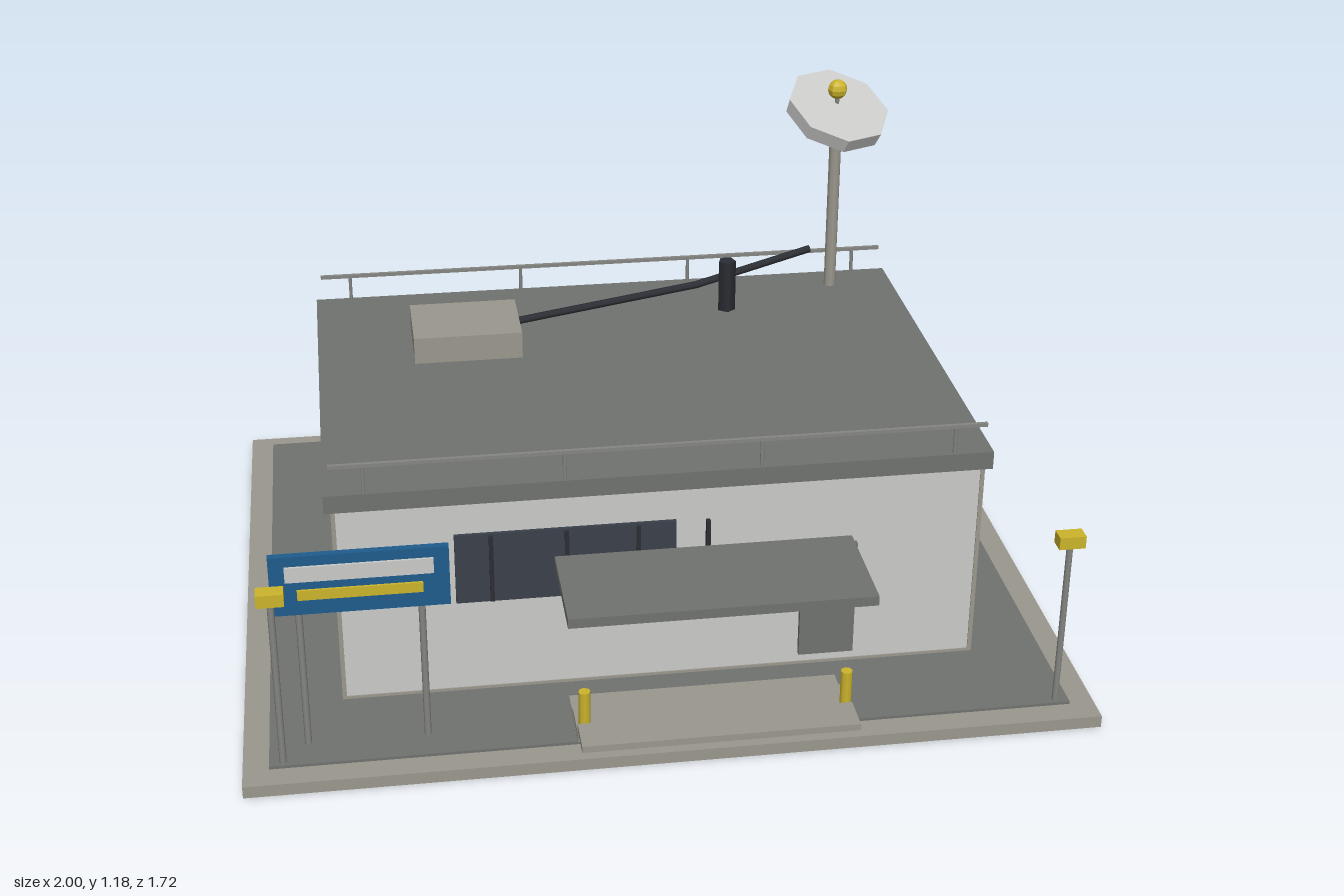
import * as THREE from 'three';

const mat = (name, color) => {
  const m = new THREE.MeshStandardMaterial({ color });
  m.name = name;
  return m;
};

export function createModel() {
  const model = new THREE.Group();
  model.name = 'roadsideStation';

  const concrete = mat('concrete', 0x9a978d);
  const asphalt = mat('darkGrey', 0x707270);
  const wall = mat('wallGrey', 0xc9c9c8);
  const glass = mat('darkGlass', 0x3a404a);
  const pipeDark = mat('nearBlack', 0x2a2d33);
  const metal = mat('metal', 0x858682);
  const blue = mat('signBlue', 0x1f5c8c);
  const yellow = mat('yellow', 0xcbb32c);

  const add = (name, geo, material, x = 0, y = 0, z = 0) => {
    const mesh = new THREE.Mesh(geo, material);
    mesh.name = name;
    mesh.position.set(x, y, z);
    model.add(mesh);
    return mesh;
  };
  // Box given by its lower and upper bounds on each axis
  const box = (name, m, x0, x1, y0, y1, z0, z1) =>
    add(name, new THREE.BoxGeometry(x1 - x0, y1 - y0, z1 - z0), m,
      (x0 + x1) / 2, (y0 + y1) / 2, (z0 + z1) / 2);
  // Upright post
  const post = (name, m, r, x, z, y0, y1, sides = 8) =>
    add(name, new THREE.CylinderGeometry(r, r, y1 - y0, sides), m, x, (y0 + y1) / 2, z);
  // Straight rod between two points
  const rod = (name, m, r, a, b, sides = 8) => {
    const d = b.clone().sub(a);
    const mesh = add(name, new THREE.CylinderGeometry(r, r, d.length(), sides), m);
    mesh.position.copy(a).add(b).multiplyScalar(0.5);
    mesh.quaternion.setFromUnitVectors(new THREE.Vector3(0, 1, 0), d.normalize());
    return mesh;
  };

  // Ground
  box('baseSlab', concrete, -1, 1, 0, 0.03, -0.86, 0.83);
  box('pavement', asphalt, -0.94, 0.94, 0.03, 0.037, -0.81, 0.77);

  // Building
  box('walls', wall, -0.765, 0.765, 0.037, 0.55, -0.547, 0.52);
  box('wallSkirt', concrete, -0.768, 0.768, 0.037, 0.044, -0.55, 0.523);
  for (const x of [-0.763, 0.763]) {
    for (const z of [-0.545, 0.518]) {
      box('cornerTrim', concrete, x - 0.005, x + 0.005, 0.037, 0.55, z - 0.005, z + 0.005);
    }
  }
  box('roofSlab', asphalt, -0.783, 0.783, 0.55, 0.595, -0.567, 0.535);

  // Window and mullions
  box('window', glass, -0.49, 0.03, 0.283, 0.465, 0.519, 0.528);
  for (const x of [-0.405, -0.228, -0.06, 0.106]) {
    box('mullion', pipeDark, x - 0.005, x + 0.005, 0.285, 0.46, 0.519, 0.534);
  }

  // Door and canopy
  box('door', asphalt, 0.332, 0.466, 0.07, 0.372, 0.519, 0.534);
  box('canopy', asphalt, -0.26, 0.445, 0.384, 0.408, 0.555, 0.83);

  // Entrance plates and bollards
  box('entrancePlateRear', concrete, -0.235, 0.41, 0.037, 0.043, 0.59, 0.77);
  box('entrancePlateMiddle', concrete, -0.235, 0.41, 0.046, 0.062, 0.66, 0.785);
  box('entrancePlateFront', concrete, -0.235, 0.41, 0.069, 0.086, 0.77, 0.86);
  for (const x of [-0.217, 0.397]) post('bollard', yellow, 0.014, x, 0.756, 0.037, 0.165);

  // Lamp posts
  for (const side of [-1, 1]) {
    const x = side * 0.908;
    post('lampPost', metal, 0.008, x, 0.755, 0.037, 0.46);
    box('lampHead', yellow, x - 0.031, x + 0.031, 0.459, 0.49, 0.735, 0.773);
  }

  // Roadside sign
  for (const x of [-0.85, -0.575]) post('signLeg', metal, 0.008, x, 0.69, 0.037, 0.46);
  box('signBoard', blue, -0.91, -0.51, 0.39, 0.54, 0.682, 0.699);
  box('signPanel', wall, -0.875, -0.545, 0.477, 0.515, 0.699, 0.705);
  box('signStripe', yellow, -0.85, -0.57, 0.43, 0.455, 0.699, 0.705);

  // Roof railings, front and back
  for (const z of [0.525, -0.555]) {
    box('railing', metal, -0.768, 0.765, 0.66, 0.669, z - 0.0045, z + 0.0045);
    for (const x of [-0.69, -0.23, 0.23, 0.69]) {
      post('railingPost', metal, 0.005, x, z, 0.595, 0.662, 6);
    }
  }

  // Roof unit, cable pipe and vent
  box('roofUnit', concrete, -0.54, -0.265, 0.595, 0.665, -0.34, -0.13);
  const path = [[-0.27, 0.606, -0.33], [0.23, 0.645, -0.413], [0.55, 0.71, -0.465]]
    .map((p) => new THREE.Vector3(...p));
  for (let i = 0; i < 2; i++) rod('roofPipe', pipeDark, 0.01, path[i], path[i + 1], 6);
  post('roofVent', pipeDark, 0.024, 0.303, -0.357, 0.595, 0.735, 5);

  // Mast, dish and beacon
  post('mast', concrete, 0.016, 0.613, -0.48, 0.595, 1.085, 8);
  const dishGeo = new THREE.CylinderGeometry(0.139, 0.135, 0.042, 8).toNonIndexed();
  dishGeo.computeVertexNormals();
  const dish = add('dish', dishGeo, wall, 0.613, 1.095, -0.48);
  dish.rotation.set(0.42, 0, -0.2);
  const ball = new THREE.SphereGeometry(0.026, 8, 6).toNonIndexed();
  ball.computeVertexNormals();
  add('beacon', ball, yellow, 0.613, 1.155, -0.48);
  post('beaconStem', metal, 0.006, 0.613, -0.48, 1.085, 1.14, 6);

  return model;
}
